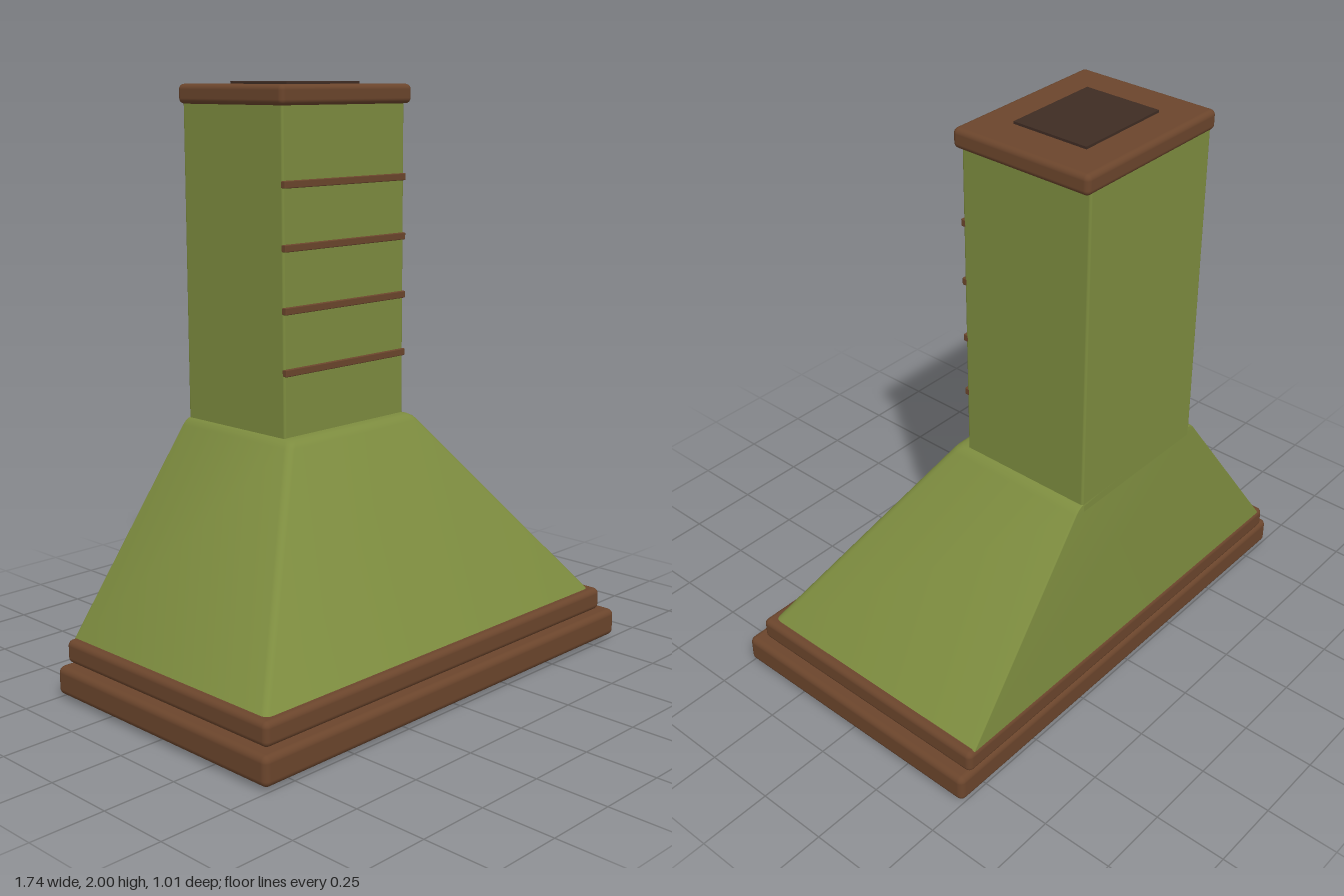
import * as THREE from 'three';
import { toCreasedNormals } from 'three/addons/utils/BufferGeometryUtils.js';
import { RoundedBoxGeometry } from 'three/addons/geometries/RoundedBoxGeometry.js';

const material = (name, color) => Object.assign(new THREE.MeshStandardMaterial({ color }), { name });

// Rounded-rectangle cross-sections [y, half width, front z] sharing a flat back wall
function loftGeometry(rows, back, radius) {
  const pos = [], index = [], arc = 4;
  const n = 4 * (arc + 1);
  for (const [y, hw, front] of rows) {
    const corners = [[1, front], [1, back], [-1, back], [-1, front]];
    corners.forEach(([sx, z], c) => {
      const r = z === back ? 0.008 : radius;
      const cz = z === back ? z + r : z - r;
      for (let k = 0; k <= arc; k++) {
        const a = (c + k / arc) * Math.PI / 2;
        pos.push(sx * (hw - r) + r * Math.sin(a), y, cz + r * Math.cos(a));
      }
    });
  }
  for (let j = 0; j < rows.length - 1; j++) {
    for (let i = 0; i < n; i++) {
      const a = j * n + i, b = j * n + (i + 1) % n;
      index.push(a, b, b + n, a, b + n, a + n);
    }
  }
  // Close the top
  const top = (rows.length - 1) * n;
  for (let i = 1; i < n - 1; i++) index.push(top, top + i, top + i + 1);
  const g = new THREE.BufferGeometry();
  g.setAttribute('position', new THREE.Float32BufferAttribute(pos, 3));
  g.setIndex(index);
  return toCreasedNormals(g, 0.6);
}

export function createModel() {
  const group = new THREE.Group();
  const green = material('olive green', 0x7d8c3f);
  const brown = material('wood brown', 0x6b452c);
  const dark = material('dark brown', 0x3f2c23);
  const lampGlass = material('lamp glass', 0xe0d8bc);

  const add = (name, geometry, mat) => {
    const mesh = new THREE.Mesh(geometry, mat);
    mesh.name = name;
    group.add(mesh);
    return mesh;
  };
  // Box given by its extents, rounded when a radius is set
  const box = (name, mat, hw, y0, y1, z0, z1, r = 0) => {
    const size = [2 * hw, y1 - y0, z1 - z0];
    const g = r ? new RoundedBoxGeometry(...size, 4, r) : new THREE.BoxGeometry(...size);
    add(name, g, mat).position.set(0, (y0 + y1) / 2, (z0 + z1) / 2);
  };

  // Stepped wooden rim
  box('lowerRim', brown, 0.87, 0.012, 0.11, -0.505, 0.505, 0.022);
  box('upperRim', brown, 0.83, 0.11, 0.19, -0.505, 0.465, 0.02);

  // Sloping canopy with a softened shoulder
  add('canopy', loftGeometry([
    [0.17, 0.815, 0.448], [0.835, 0.318, 0.035], [0.848, 0.306, 0.026],
    [0.856, 0.293, 0.012], [0.859, 0.275, -0.005],
  ], -0.5, 0.025), green);

  // Chimney, its trim strips, cap and outlet
  box('chimney', green, 0.285, 0.82, 1.95, -0.5, -0.02, 0.008);
  for (let i = 0; i < 4; i++) {
    const y = 1.075 + i * 0.202;
    box('trimStrip', brown, 0.285, y - 0.012, y + 0.012, -0.03, -0.01, 0.003);
  }
  box('chimneyCap', brown, 0.305, 1.927, 1.992, -0.505, 0, 0.018);
  box('ductOutlet', dark, 0.17, 1.98, 2, -0.39, -0.12);

  // Lamps under the rim
  for (const side of [-1, 1]) {
    add('lamp', new THREE.CylinderGeometry(0.055, 0.055, 0.024, 24), lampGlass)
      .position.set(side * 0.405, 0.012, 0);
  }
  return group;
}
